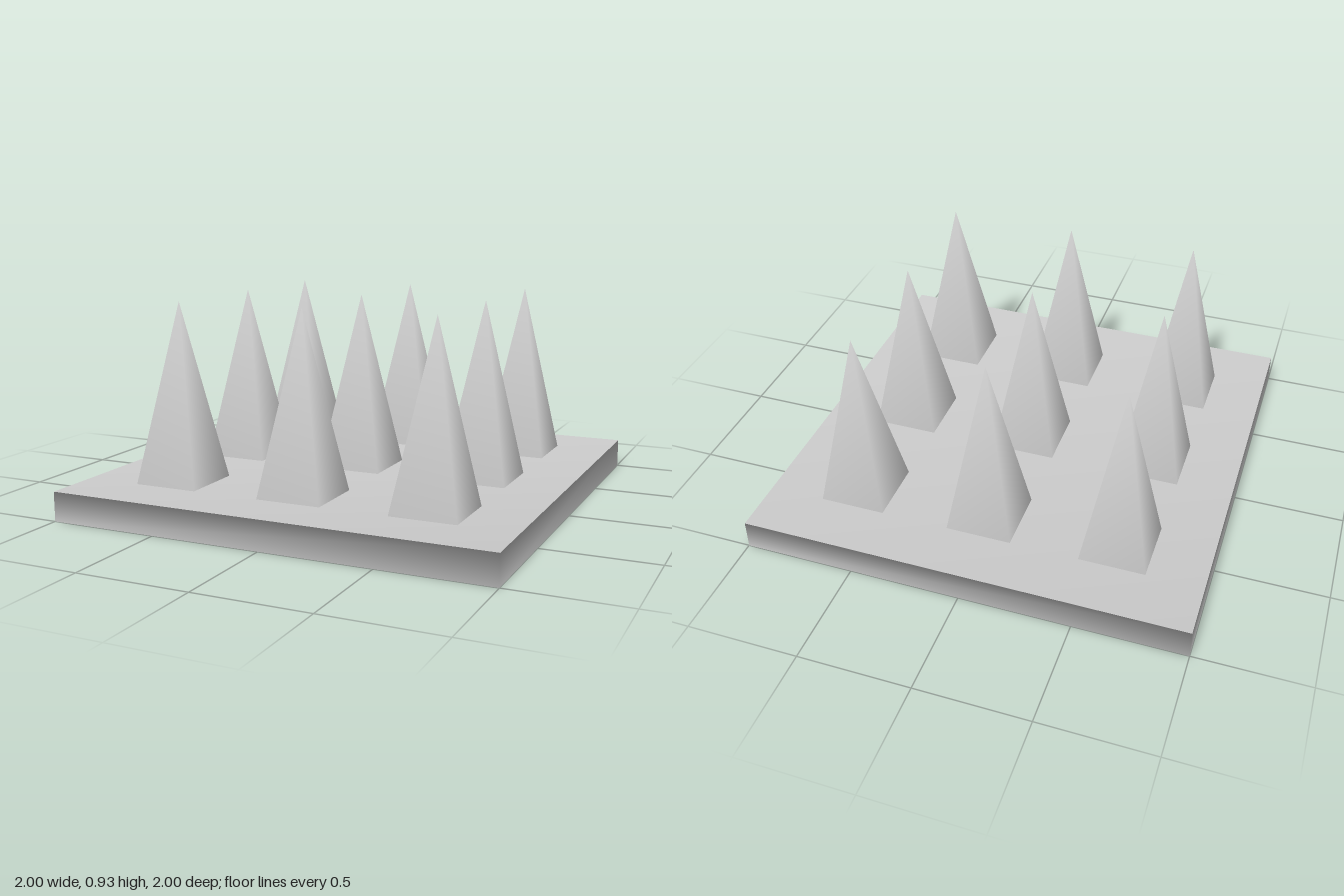
import * as THREE from 'three';
import { mergeVertices } from 'three/addons/utils/BufferGeometryUtils.js';

const HALF = 1;
const SLAB_HEIGHT = 0.133;
const SPIKE_HEIGHT = 0.8;
const SPIKE_HALF = 0.147;
const PITCH = 0.6;

// Hollow tray, open underneath; the shared corners blend the shading of its sides and top
function slabGeometry() {
  const positions = [];
  for (const y of [0, SLAB_HEIGHT]) {
    for (const [x, z] of [[-1, 1], [1, 1], [1, -1], [-1, -1]]) positions.push(x * HALF, y, z * HALF);
  }
  const indices = [4, 6, 5, 4, 7, 6]; // top sheet, facing into the tray
  for (let i = 0; i < 4; i++) {
    const j = (i + 1) % 4;
    indices.push(i, j, j + 4, i, j + 4, i + 4);
  }
  const geometry = new THREE.BufferGeometry();
  geometry.setAttribute('position', new THREE.Float32BufferAttribute(positions, 3));
  geometry.setIndex(indices);
  geometry.computeVertexNormals();
  return geometry;
}

// Four-sided spike with smooth shading across its edges
function spikeGeometry() {
  const cone = new THREE.ConeGeometry(SPIKE_HALF * Math.SQRT2, SPIKE_HEIGHT, 4, 1, true);
  cone.rotateY(Math.PI / 4);
  cone.translate(0, SPIKE_HEIGHT / 2, 0);
  cone.deleteAttribute('normal');
  cone.deleteAttribute('uv');
  const geometry = mergeVertices(cone, 1e-4);
  geometry.computeVertexNormals();
  return geometry;
}

export function createModel() {
  const model = new THREE.Group();
  model.name = 'spikeTrap';
  const grey = new THREE.MeshStandardMaterial({ color: 0xcccccc, side: THREE.DoubleSide });
  grey.name = 'lightGrey';

  const slab = new THREE.Mesh(slabGeometry(), grey);
  slab.name = 'slab';
  model.add(slab);

  // Three by three grid of spikes
  const spikes = new THREE.Group();
  spikes.name = 'spikes';
  const geometry = spikeGeometry();
  for (const x of [-PITCH, 0, PITCH]) {
    for (const z of [-PITCH, 0, PITCH]) {
      const spike = new THREE.Mesh(geometry, grey);
      spike.name = 'spike';
      spike.position.set(x, SLAB_HEIGHT, z);
      spikes.add(spike);
    }
  }
  model.add(spikes);
  return model;
}
